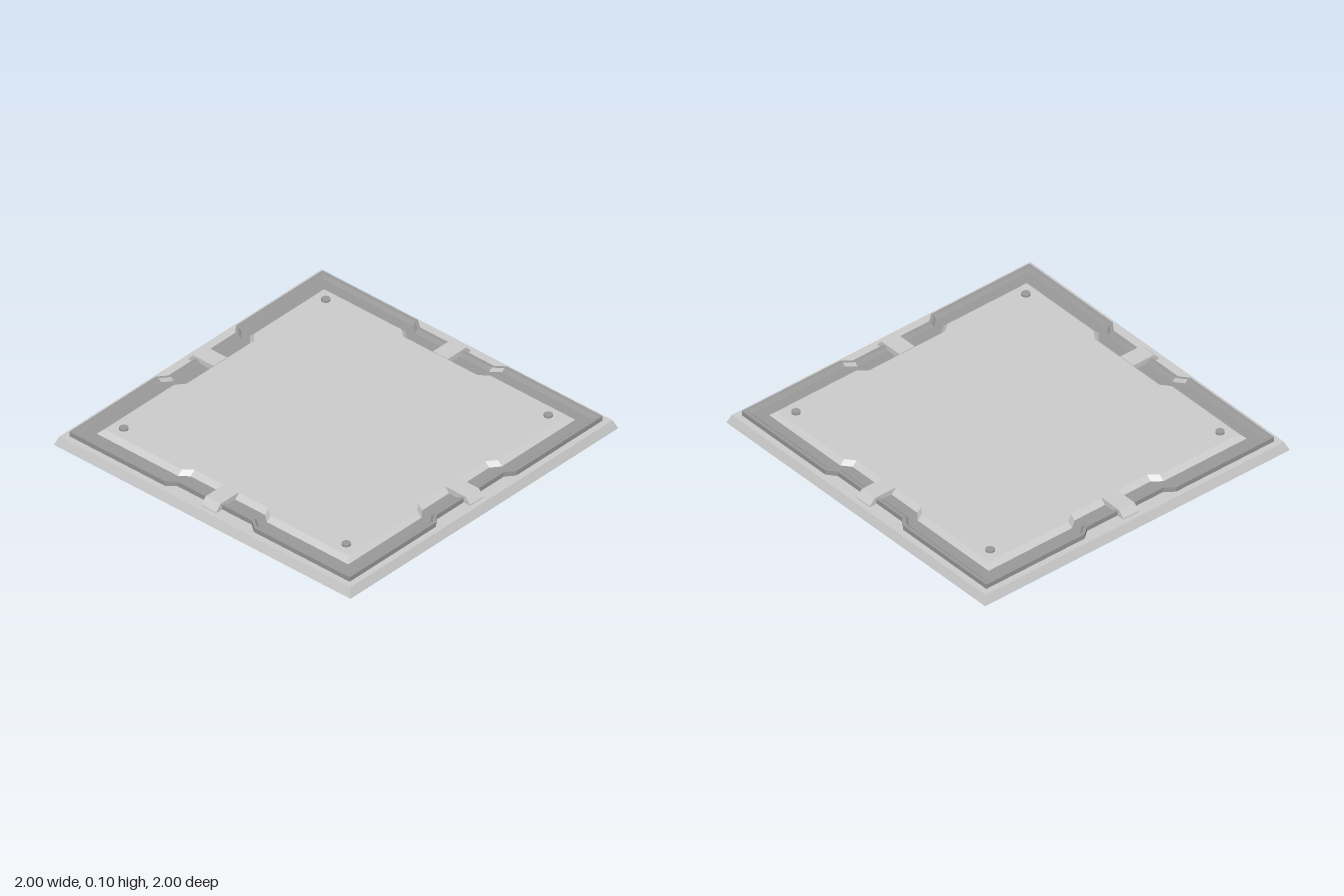
import * as THREE from 'three';

const light = new THREE.MeshStandardMaterial({ color: 0xcccccc, flatShading: true });
const dark = new THREE.MeshStandardMaterial({ color: 0x999999, flatShading: true });

// Square outline of half-size r, each side stepped inward by n in its middle
function outline(r, y, n) {
  const side = [[r, -r], [r, -0.3], [r - n, -0.25], [r - n, 0.25], [r, 0.3]];
  const pts = [];
  for (let k = 0; k < 4; k++) {
    for (let [x, z] of side) {
      for (let j = 0; j < k; j++) [x, z] = [-z, x];
      pts.push(r === 0 ? [0, y, 0] : [x, y, z]);
    }
  }
  return pts;
}

// Joins a sequence of outlines [half-size, height, step] into one surface
function loft(name, profile, material) {
  const rings = profile.map(([r, y, n]) => outline(r, y, n));
  const pos = [];
  for (let s = 0; s < rings.length - 1; s++) {
    const lo = rings[s], hi = rings[s + 1];
    for (let i = 0; i < lo.length; i++) {
      const j = (i + 1) % lo.length;
      if (profile[s][0] > 0) pos.push(...lo[i], ...hi[j], ...lo[j]);
      if (profile[s + 1][0] > 0) pos.push(...lo[i], ...hi[i], ...hi[j]);
    }
  }
  const geo = new THREE.BufferGeometry();
  geo.setAttribute('position', new THREE.Float32BufferAttribute(pos, 3));
  geo.computeVertexNormals();
  const mesh = new THREE.Mesh(geo, material);
  mesh.name = name;
  return mesh;
}

export function createModel() {
  const model = new THREE.Group();
  model.name = 'floorTile';
  const step = 0.04;

  // Outer frame with sloped sides and a stepped opening
  model.add(loft('frame', [
    [0.945, 0, step], [1, 0, 0], [0.98, 0.05, 0], [0.945, 0.05, step], [0.945, 0, step],
  ], light));

  // Dark tray with a raised lip and a sunken channel
  model.add(loft('tray', [
    [0, 0.05, 0], [0.945, 0.05, step], [0.945, 0.077, step], [0.925, 0.077, step],
    [0.908, 0.06, step], [0.8, 0.06, step],
  ], dark));

  // Bevelled centre panel
  model.add(loft('panel', [
    [0.848, 0.06, step], [0.82, 0.086, step], [0, 0.086, 0],
  ], light));

  // Clips bridging the channel in the middle of each side
  const section = new THREE.Shape([
    [0.78, 0.049], [0.95, 0.049], [0.95, 0.055], [0.918, 0.09], [0.78, 0.09],
  ].map(([x, y]) => new THREE.Vector2(x, y)));
  const clipGeo = new THREE.ExtrudeGeometry(section, { depth: 0.1, bevelEnabled: false });
  clipGeo.translate(0, 0, -0.05);
  for (let k = 0; k < 4; k++) {
    const clip = new THREE.Mesh(clipGeo, light);
    clip.name = 'clip';
    clip.rotation.y = k * Math.PI / 2;
    model.add(clip);
  }

  // Round studs near the panel corners
  const studGeo = new THREE.CylinderGeometry(0.024, 0.024, 0.02, 12);
  for (const x of [-1, 1]) {
    for (const z of [-1, 1]) {
      const stud = new THREE.Mesh(studGeo, dark);
      stud.name = 'stud';
      stud.position.set(x * 0.755, 0.087, z * 0.75);
      model.add(stud);
    }
  }
  return model;
}
